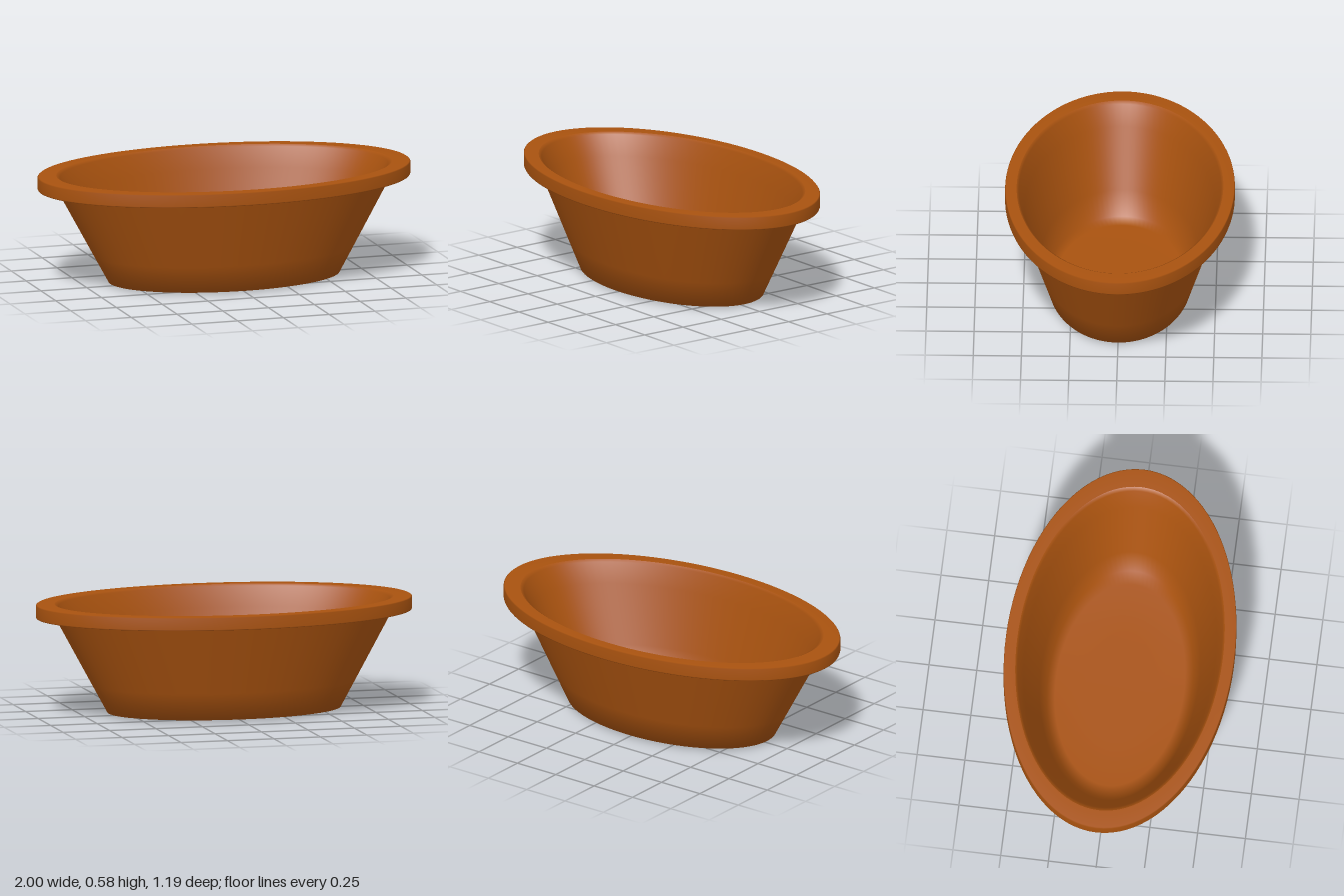
import * as THREE from 'three';

export function createModel() {
  const model = new THREE.Group();
  model.name = 'ovalBasin';
  const clay = new THREE.MeshStandardMaterial({ color: 0xa8520f });
  clay.name = 'terracotta brown';

  // Round profile squashed into an oval
  const turn = (name, points) => {
    const geometry = new THREE.LatheGeometry(points.map(([r, y]) => new THREE.Vector2(r, y)), 96);
    geometry.scale(1, 1, 0.597);
    const mesh = new THREE.Mesh(geometry, clay);
    mesh.name = name;
    model.add(mesh);
  };

  // Slightly domed underside and flared outer wall, up under the rim
  turn('outerWall', [[0, 0], [0.3, 0.002], [0.62, 0.01], [0.7, 0.155], [0.9, 0.52], [0.92, 0.56]]);

  // Overhanging rim with a hollow underside and a soft inner edge
  turn('rim', [[0.92, 0.56], [0.965, 0.56], [0.97, 0.517], [0.997, 0.515], [1, 0.52], [1, 0.58], [0.994, 0.585], [0.9, 0.585]]);

  // Inner wall and floor
  turn('innerBowl', [[0.9, 0.585], [0.88, 0.575], [0.83, 0.47], [0.69, 0.17], [0.63, 0.045], [0.56, 0.032], [0.3, 0.03], [0, 0.03]]);

  return model;
}
